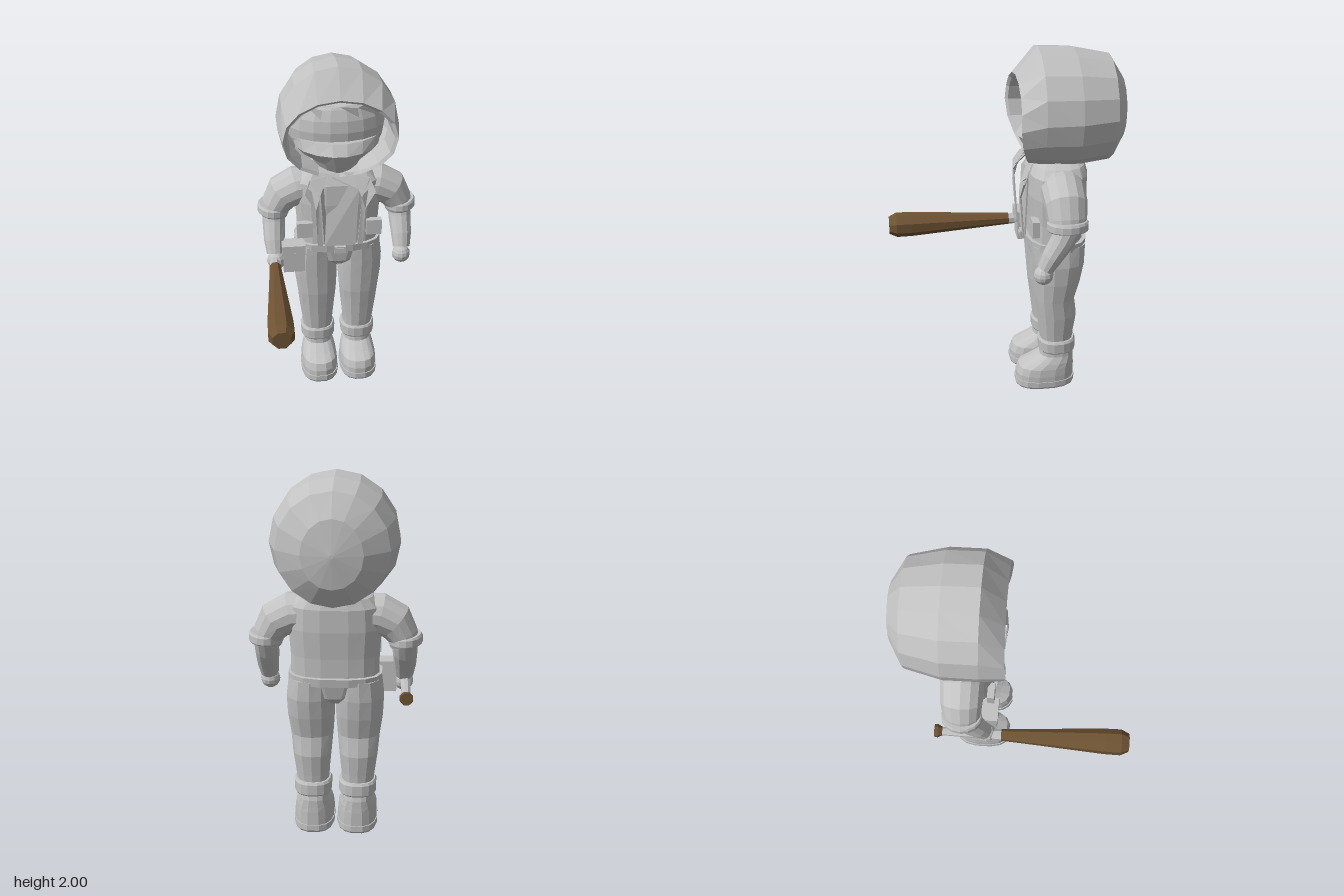
import * as THREE from 'three';

const grey = new THREE.MeshStandardMaterial({ color: 0xc2c2c2, flatShading: true, side: THREE.DoubleSide });
grey.name = 'light grey';
const brown = new THREE.MeshStandardMaterial({ color: 0x6f5334, flatShading: true });
brown.name = 'brown wood';

// Skin over rings of points; each ring runs counter-clockwise seen from the far end
function loft(rings, capStart = true, capEnd = true) {
  const pos = [], idx = [], n = rings[0].length;
  rings.forEach(r => r.forEach(p => pos.push(p.x, p.y, p.z)));
  for (let j = 0; j < rings.length - 1; j++) for (let i = 0; i < n; i++) {
    const k = (i + 1) % n, a = j * n, b = a + n;
    idx.push(a + i, a + k, b + k, a + i, b + k, b + i);
  }
  const cap = (j, flip) => {
    const c = new THREE.Vector3();
    rings[j].forEach(p => c.addScaledVector(p, 1 / n));
    const m = pos.length / 3;
    pos.push(c.x, c.y, c.z);
    for (let i = 0; i < n; i++) {
      const a = j * n + i, b = j * n + (i + 1) % n;
      idx.push(m, flip ? b : a, flip ? a : b);
    }
  };
  if (capStart) cap(0, true);
  if (capEnd) cap(rings.length - 1, false);
  let g = new THREE.BufferGeometry();
  g.setAttribute('position', new THREE.Float32BufferAttribute(pos, 3));
  g.setIndex(idx);
  g = g.toNonIndexed();
  g.computeVertexNormals();
  return g;
}

const sgnPow = (v, e) => Math.sign(v) * Math.abs(v) ** e;

// Horizontal rounded sections [y, cx, zBack, zFront, rx]
function column(sections, p = 2, n = 16) {
  return loft(sections.map(([y, cx, zb, zf, rx]) => Array.from({ length: n }, (_, i) => {
    const a = (i + 0.5) / n * Math.PI * 2;
    return new THREE.Vector3(cx + rx * sgnPow(Math.cos(a), 2 / p), y,
      (zb + zf) / 2 - (zf - zb) / 2 * sgnPow(Math.sin(a), 2 / p));
  })));
}

// Limb along a path of [x, y, z, sideRadius, depthRadius]
function limb(path, n = 12) {
  const pts = path.map(p => new THREE.Vector3(p[0], p[1], p[2]));
  return loft(pts.map((c, j) => {
    const t = pts[Math.min(j + 1, pts.length - 1)].clone().sub(pts[Math.max(j - 1, 0)]).normalize();
    const v = new THREE.Vector3(0, 0, 1).addScaledVector(t, -t.z).normalize();
    const u = v.clone().cross(t);
    return Array.from({ length: n }, (_, i) => {
      const a = i / n * Math.PI * 2;
      return c.clone().addScaledVector(u, path[j][3] * Math.cos(a)).addScaledVector(v, path[j][4] * Math.sin(a));
    });
  }));
}

// Thin plate from an outline, bent by z = rule(x, y)
function plate(outline, rule, s = 1) {
  const pts = outline.map(([x, y]) => new THREE.Vector2(x * s, y));
  const g = new THREE.ExtrudeGeometry(new THREE.Shape(pts), { depth: 0.008, bevelEnabled: false });
  const p = g.attributes.position;
  for (let i = 0; i < p.count; i++) p.setZ(i, p.getZ(i) + rule(p.getX(i), p.getY(i)));
  g.computeVertexNormals();
  return g;
}

export function createModel() {
  const root = new THREE.Group();
  const add = (name, geo, mat = grey, x = 0, y = 0, z = 0) => {
    const m = new THREE.Mesh(geo, mat);
    m.name = name;
    m.position.set(x, y, z);
    root.add(m);
    return m;
  };
  const box = (name, w, h, d, x, y, z) => add(name, new THREE.BoxGeometry(w, h, d), grey, x, y, z);

  // Hood: rings from the back forward, then turned inward at the face opening
  const hoodRing = (z, rx, top, bottom, mid, dz = () => 0) => Array.from({ length: 16 }, (_, i) => {
    const a = i / 16 * Math.PI * 2, s = Math.sin(a);
    return new THREE.Vector3(rx * Math.cos(a), mid + s * (s > 0 ? top - mid : mid - bottom), z + dz(s));
  });
  const rimZ = s => s > 0 ? -0.012 * s : -0.08 * s * s;
  add('hood', loft([
    hoodRing(-0.654, 0.01, 1.66, 1.64, 1.65),
    hoodRing(-0.63, 0.155, 1.83, 1.48, 1.65),
    hoodRing(-0.555, 0.285, 1.95, 1.37, 1.66),
    hoodRing(-0.36, 0.335, 1.99, 1.35, 1.66),
    hoodRing(-0.17, 0.335, 2.0, 1.365, 1.66),
    hoodRing(-0.04, 0.315, 1.85, 1.375, 1.63, rimZ),
    hoodRing(-0.055, 0.295, 1.835, 1.39, 1.63, rimZ),
    hoodRing(-0.24, 0.29, 1.85, 1.4, 1.63),
  ], true, false));

  // Head with fringe and face scarf
  const head = new THREE.SphereGeometry(1, 18, 12);
  head.scale(0.28, 0.25, 0.2);
  add('head', head, grey, 0, 1.63, -0.33);
  add('fringe', plate([
    [-0.2, 1.8], [-0.25, 1.65], [-0.19, 1.73], [-0.17, 1.78], [-0.1, 1.715], [-0.09, 1.77], [0, 1.79],
    [0.11, 1.72], [0.1, 1.775], [0.2, 1.72], [0.25, 1.64], [0.2, 1.8], [0.1, 1.85], [-0.1, 1.85],
  ], x => -0.125 - 1.6 * x * x));
  add('faceScarf', column([
    [1.36, 0, -0.4, -0.16, 0.1], [1.45, 0, -0.45, -0.1, 0.15],
    [1.52, 0, -0.5, -0.06, 0.24], [1.58, 0, -0.5, -0.1, 0.255],
  ], 1.8));
  add('neck', new THREE.CylinderGeometry(0.1, 0.12, 0.12, 12), grey, 0, 1.38, -0.29);

  // Torso, pelvis and belt
  add('jacket', column([
    [0.92, 0, -0.425, -0.12, 0.24], [1.05, 0, -0.43, -0.12, 0.24], [1.2, 0, -0.445, -0.11, 0.25],
    [1.32, 0, -0.445, -0.115, 0.245], [1.37, 0, -0.43, -0.14, 0.2], [1.4, 0, -0.4, -0.18, 0.12],
  ], 2.7));
  add('pelvis', column([
    [0.78, 0, -0.37, -0.17, 0.06], [0.82, 0, -0.41, -0.135, 0.14], [0.93, 0, -0.435, -0.12, 0.245],
  ], 2.4));
  add('belt', column([[0.9, 0, -0.445, -0.105, 0.255], [0.945, 0, -0.45, -0.1, 0.255]], 2.7));
  box('buckle', 0.065, 0.042, 0.025, 0, 0.925, -0.095);
  box('buckleCentre', 0.045, 0.024, 0.008, 0, 0.925, -0.081);

  // Shirt front
  const frontZ = (x, y) => -0.082 - 0.5 * Math.max(0, y - 1.28);
  add('shirtFront', plate([[-0.09, 0.95], [0.09, 0.95], [0.11, 1.3], [0.06, 1.38], [-0.06, 1.38], [-0.11, 1.3]],
    (x, y) => frontZ(x, y) - 0.02));

  for (const s of [1, -1]) {
    const side = s > 0 ? 'left' : 'right';
    // Jacket edge, collar and pocket
    add(side + 'Lapel', plate([[0.1, 0.96], [0.13, 0.96], [0.14, 1.2], [0.2, 1.3], [0.17, 1.37], [0.07, 1.39], [0.12, 1.27]],
      (x, y) => frontZ(x, y) + (y > 1.15 ? 0.015 : -0.005), s));
    add(side + 'Collar', plate([[0.02, 1.4], [0.13, 1.29], [0.18, 1.33], [0.15, 1.4]],
      (x, y) => frontZ(x, y) + 0.012, s));
    box(side + 'Pocket', 0.09, 0.092, 0.04, s * 0.2, 1.047, -0.135);

    // Short sleeve with turned cuff
    add(side + 'Sleeve', limb([
      [s * 0.14, 1.27, -0.285, 0.1, 0.12], [s * 0.23, 1.26, -0.28, 0.115, 0.12], [s * 0.315, 1.22, -0.28, 0.105, 0.115],
      [s * 0.355, 1.15, -0.28, 0.085, 0.105], [s * 0.368, 1.1, -0.28, 0.08, 0.1],
    ], 14));
    add(side + 'SleeveCuff', limb([
      [s * 0.37, 1.153, -0.28, 0.085, 0.106], [s * 0.371, 1.145, -0.28, 0.092, 0.112],
      [s * 0.372, 1.11, -0.28, 0.092, 0.112], [s * 0.373, 1.1, -0.28, 0.086, 0.107],
    ], 16));

    // Forearm and hand
    add(side + 'Forearm', limb([
      [s * 0.37, 1.14, -0.3, 0.068, 0.075], [s * 0.372, 1.04, -0.255, 0.066, 0.066],
      [s * 0.375, 0.95, -0.2, 0.06, 0.056], [s * 0.373, 0.88, -0.165, 0.05, 0.045],
    ]));
    add(side + 'Hand', new THREE.SphereGeometry(0.054, 12, 8), grey, s * 0.37, 0.84, -0.155);

    // Trouser leg and rolled cuff
    add(side + 'Leg', column([
      [0.24, s * 0.122, -0.37, -0.195, 0.085], [0.35, s * 0.126, -0.38, -0.18, 0.094],
      [0.47, s * 0.128, -0.395, -0.165, 0.108], [0.58, s * 0.128, -0.38, -0.15, 0.118],
      [0.7, s * 0.132, -0.41, -0.14, 0.13], [0.81, s * 0.134, -0.43, -0.13, 0.132], [0.92, s * 0.13, -0.435, -0.12, 0.122],
    ], 2.3, 14));
    add(side + 'LegCuff', column([
      [0.225, s * 0.124, -0.385, -0.185, 0.096], [0.235, s * 0.124, -0.393, -0.178, 0.104],
      [0.295, s * 0.124, -0.393, -0.175, 0.106], [0.308, s * 0.124, -0.385, -0.182, 0.098],
    ], 2.4));

    // Boot and sole
    add(side + 'Boot', column([
      [0.03, s * 0.122, -0.388, -0.045, 0.112], [0.08, s * 0.122, -0.388, -0.045, 0.112],
      [0.125, s * 0.122, -0.388, -0.06, 0.108], [0.155, s * 0.122, -0.386, -0.12, 0.1],
      [0.195, s * 0.122, -0.385, -0.185, 0.084], [0.25, s * 0.122, -0.37, -0.19, 0.08],
    ], 2.5));
    add(side + 'Sole', column([
      [0, s * 0.122, -0.386, -0.046, 0.11], [0.012, s * 0.122, -0.393, -0.04, 0.116], [0.045, s * 0.122, -0.393, -0.04, 0.116],
    ], 2.6));
  }

  // Belt pouch with flap and clasp
  box('pouch', 0.125, 0.165, 0.085, -0.268, 0.867, -0.145);
  box('pouchFlap', 0.135, 0.06, 0.1, -0.268, 0.93, -0.142);
  box('pouchClasp', 0.025, 0.04, 0.012, -0.268, 0.893, -0.097);

  // Bat pointing forward from the right hand: profile [radius, z]
  const batPart = (name, profile, mat) => {
    const g = new THREE.LatheGeometry(profile.map(([r, z]) => new THREE.Vector2(r, z)), 8, Math.PI / 8);
    g.rotateX(Math.PI / 2);
    add(name, g, mat, -0.38, 0.845, 0);
  };
  batPart('batKnob', [[0, -0.45], [0.036, -0.45], [0.038, -0.43], [0.024, -0.405], [0, -0.405]], brown);
  batPart('batGrip', [[0.024, -0.41], [0.028, -0.25], [0.033, -0.07]], grey);
  batPart('batBarrel', [[0, -0.07], [0.034, -0.07], [0.048, 0.15], [0.063, 0.37], [0.073, 0.52], [0.074, 0.61], [0.052, 0.655], [0, 0.655]], brown);

  return root;
}
